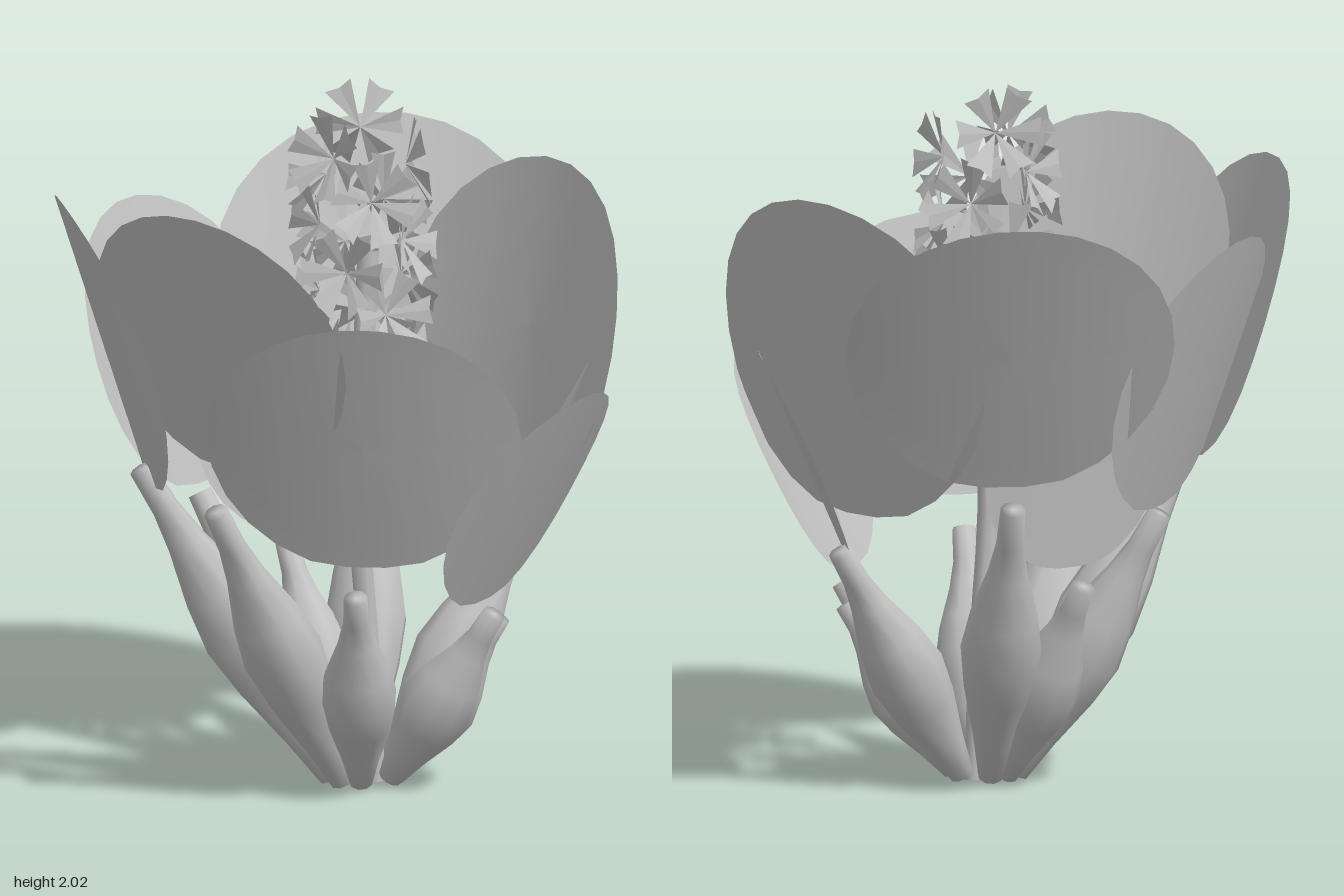
import * as THREE from 'three';

export function createModel() {
  const model = new THREE.Group();
  const grey = new THREE.MeshStandardMaterial({ color: 0xc2c2c2, side: THREE.DoubleSide });
  grey.name = 'light grey';
  const UP = new THREE.Vector3(0, 1, 0);
  const axisX = 0.05, axisZ = 0.05;

  const add = (geometry, name, parent = model) => {
    const mesh = new THREE.Mesh(geometry, grey);
    mesh.name = name;
    parent.add(mesh);
    return mesh;
  };

  // Round leaves, bent gently around the plant
  // [centre x, y, z, outward x, outward z, half width, half height, lean]
  const leaves = [
    [0.43, 1.335, -0.56, 0.53, -0.85, 0.47, 0.46, 0.47],
    [-0.27, 1.21, -0.50, -0.5, -0.87, 0.45, 0.425, 0.33],
    [-0.65, 1.32, -0.14, -0.95, -0.3, 0.44, 0.45, 0.31],
    [-0.56, 1.40, 0.32, -0.9, 0.42, 0.43, 0.43, 0.35],
    [-0.235, 1.12, 0.60, -0.53, 0.85, 0.45, 0.42, 0.39],
    [0.33, 0.90, 0.53, 0.58, 0.81, 0.40, 0.36, 0.48],
    [0.50, 0.915, 0.26, 0.82, 0.57, 0.32, 0.37, 0.40],
    [0.59, 1.27, 0.02, 1, -0.11, 0.52, 0.48, 0.2],
    [0.05, 0.96, -0.37, 0, -1, 0.32, 0.31, 0.16],
  ];
  for (const [x, y, z, nx, nz, w, h, lean] of leaves) {
    const g = new THREE.RingGeometry(0.001, 1, 26, 5);
    const p = g.attributes.position;
    for (let i = 0; i < p.count; i++) {
      const u = p.getX(i) * w;
      const v = Math.max(p.getY(i), -0.97) * h;
      p.setXYZ(i, u, v, 0.02 - 0.28 * u * u);
    }
    g.computeVertexNormals();
    const leaf = add(g, 'leaf');
    leaf.position.set(x, y, z);
    leaf.rotation.set(lean, Math.atan2(nx, nz), 0, 'YXZ');
  }

  // Swollen bottle-shaped stalks fanning out from the base
  const profile = [[0.036, 0], [0.06, 0.14], [0.1, 0.32], [0.118, 0.46],
    [0.098, 0.6], [0.058, 0.76], [0.04, 0.87], [0.036, 1]];
  const tips = [
    [-0.58, 0.95, -0.1], [-0.55, 0.9, 0.3], [-0.18, 0.64, 0.45],
    [0.28, 0.54, 0.42], [0.36, 0.5, 0.3], [0.59, 0.71, 0.03],
    [0.34, 0.87, -0.45], [0.04, 0.61, -0.39], [-0.25, 0.79, -0.37],
  ];
  for (const t of tips) {
    const tip = new THREE.Vector3(...t);
    const out = new THREE.Vector3(tip.x - axisX, 0, tip.z - axisZ).normalize();
    const base = new THREE.Vector3(axisX, 0.02, axisZ).addScaledVector(out, 0.09);
    const dir = tip.clone().sub(base);
    const length = dir.length();
    const fat = 0.82 + 0.18 * Math.min(1, length);
    const points = profile.map(([r, s]) => new THREE.Vector2(r * fat, s * length));
    points.unshift(new THREE.Vector2(0, 0));
    points.push(new THREE.Vector2(0, length));
    const stalk = add(new THREE.LatheGeometry(points, 9), 'stalk');
    stalk.position.copy(base);
    stalk.quaternion.setFromUnitVectors(UP, dir.normalize());
  }

  // Central flower stem, slightly bowed
  const spike = new THREE.Group();
  spike.name = 'flowerSpike';
  spike.position.set(axisX, 0, axisZ);
  model.add(spike);
  const stemPath = new THREE.CatmullRomCurve3([[0.04, 0], [0.02, 0.4], [-0.01, 0.8], [0.02, 1.55]]
    .map(([x, y]) => new THREE.Vector3(x, y, 0)));
  add(new THREE.TubeGeometry(stemPath, 12, 0.032, 8), 'stem', spike);

  // Star flower: six flat petals, narrow at the heart and wide at the tip
  const corners = [];
  for (let i = 0; i < 6; i++) {
    const a = i * Math.PI / 3;
    const at = (r, d, z) => [r * Math.cos(a + d), r * Math.sin(a + d), z];
    const heart = at(0, 0, 0), left = at(0.132, 0.32, 0.05);
    const notch = at(0.116, 0, 0.05), right = at(0.132, -0.32, 0.05);
    corners.push(...heart, ...right, ...notch, ...heart, ...notch, ...left);
  }
  const star = new THREE.BufferGeometry();
  star.setAttribute('position', new THREE.Float32BufferAttribute(corners, 3));
  star.computeVertexNormals();

  // Flowers spiralling up the stem
  const count = 17;
  for (let i = 0; i < count; i++) {
    const angle = 2.7 + i * 2.4;
    const flower = add(star, 'flower', spike);
    flower.position.set(0.125 * Math.sin(angle), 1.88 - 0.66 * i / (count - 1), 0.125 * Math.cos(angle));
    flower.rotation.set(-0.15, angle, i * 0.7, 'YXZ');
  }
  return model;
}
